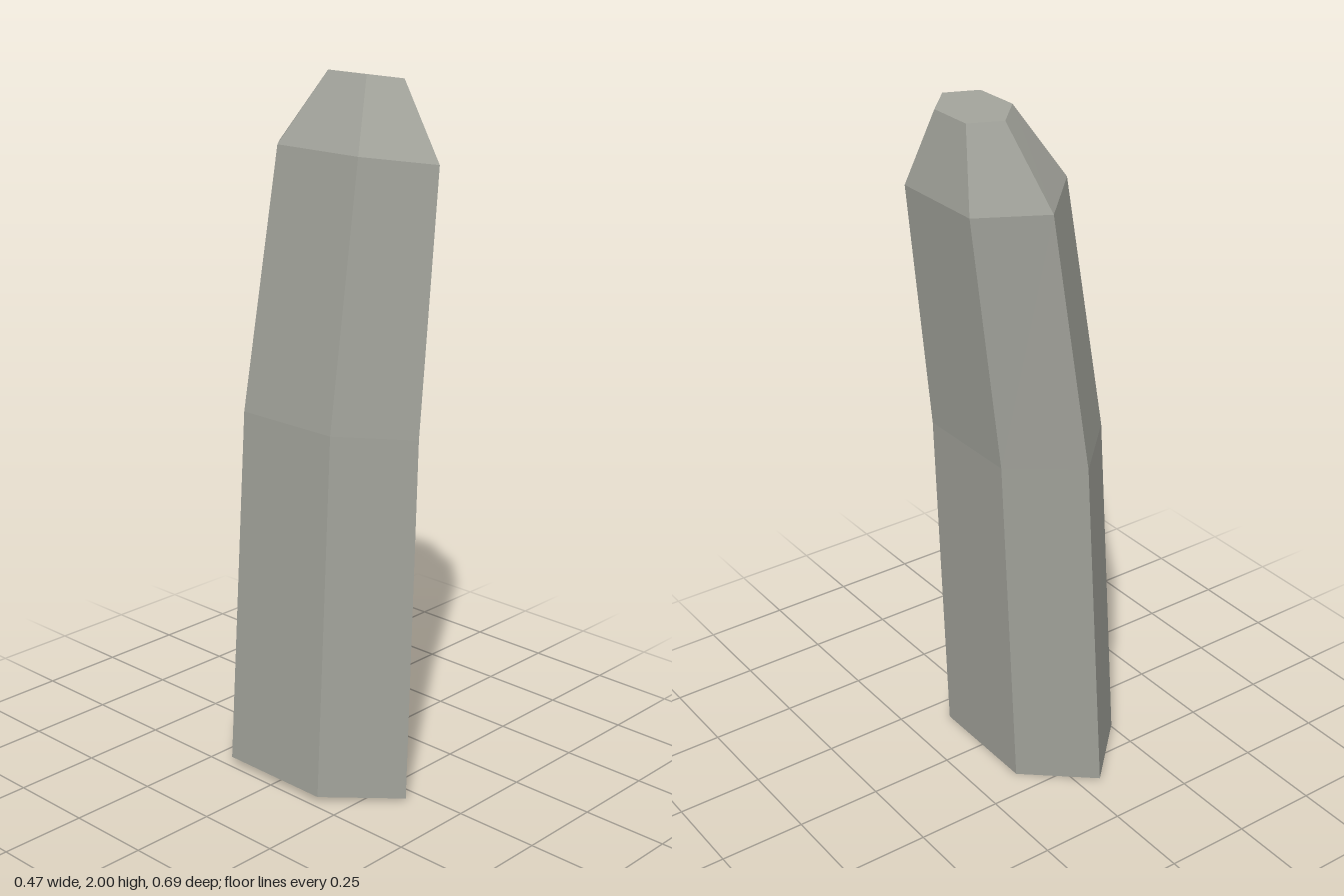
import * as THREE from 'three';

// Tilted hexagonal cross-sections: [x, y] at left, middle and right,
// z centre, half depth of the flat sides, half depth at the middle corners
const sections = [
  { left: [-0.237, 0.022], mid: [-0.057, 0.011], right: [0.121, 0], z: 0, flat: 0.174, deep: 0.346 },
  { left: [-0.175, 1.07], mid: [-0.003, 1.055], right: [0.165, 1.04], z: -0.001, flat: 0.165, deep: 0.329 },
  { left: [-0.07, 1.805], mid: [0.083, 1.782], right: [0.235, 1.76], z: 0.016, flat: 0.148, deep: 0.295 },
  { left: [0.046, 2], mid: [0.118, 1.988], right: [0.189, 1.976], z: 0.016, flat: 0.07, deep: 0.139 },
];

function ring({ left, mid, right, z, flat, deep }) {
  return [
    [...left, z - flat], [...mid, z - deep], [...right, z - flat],
    [...right, z + flat], [...mid, z + deep], [...left, z + flat],
  ];
}

// Joins the rings with flat panels and closes both ends
function loft(rings) {
  const points = [];
  const n = rings[0].length;
  for (let r = 0; r < rings.length - 1; r++) {
    const a = rings[r], b = rings[r + 1];
    for (let i = 0; i < n; i++) {
      const j = (i + 1) % n;
      points.push(a[j], a[i], b[i], a[j], b[i], b[j]);
    }
  }
  const bottom = rings[0], top = rings[rings.length - 1];
  for (let i = 1; i < n - 1; i++) {
    points.push(bottom[0], bottom[i], bottom[i + 1]);
    points.push(top[0], top[i + 1], top[i]);
  }
  const geometry = new THREE.BufferGeometry();
  geometry.setAttribute('position', new THREE.Float32BufferAttribute(points.flat(), 3));
  geometry.computeVertexNormals();
  return geometry;
}

export function createModel() {
  const stone = new THREE.MeshStandardMaterial({ color: 0xa0a199 });
  stone.name = 'grey stone';

  const pillar = new THREE.Mesh(loft(sections.map(ring)), stone);
  pillar.name = 'stonePillar';

  const group = new THREE.Group();
  group.name = 'standingStone';
  group.add(pillar);
  return group;
}
